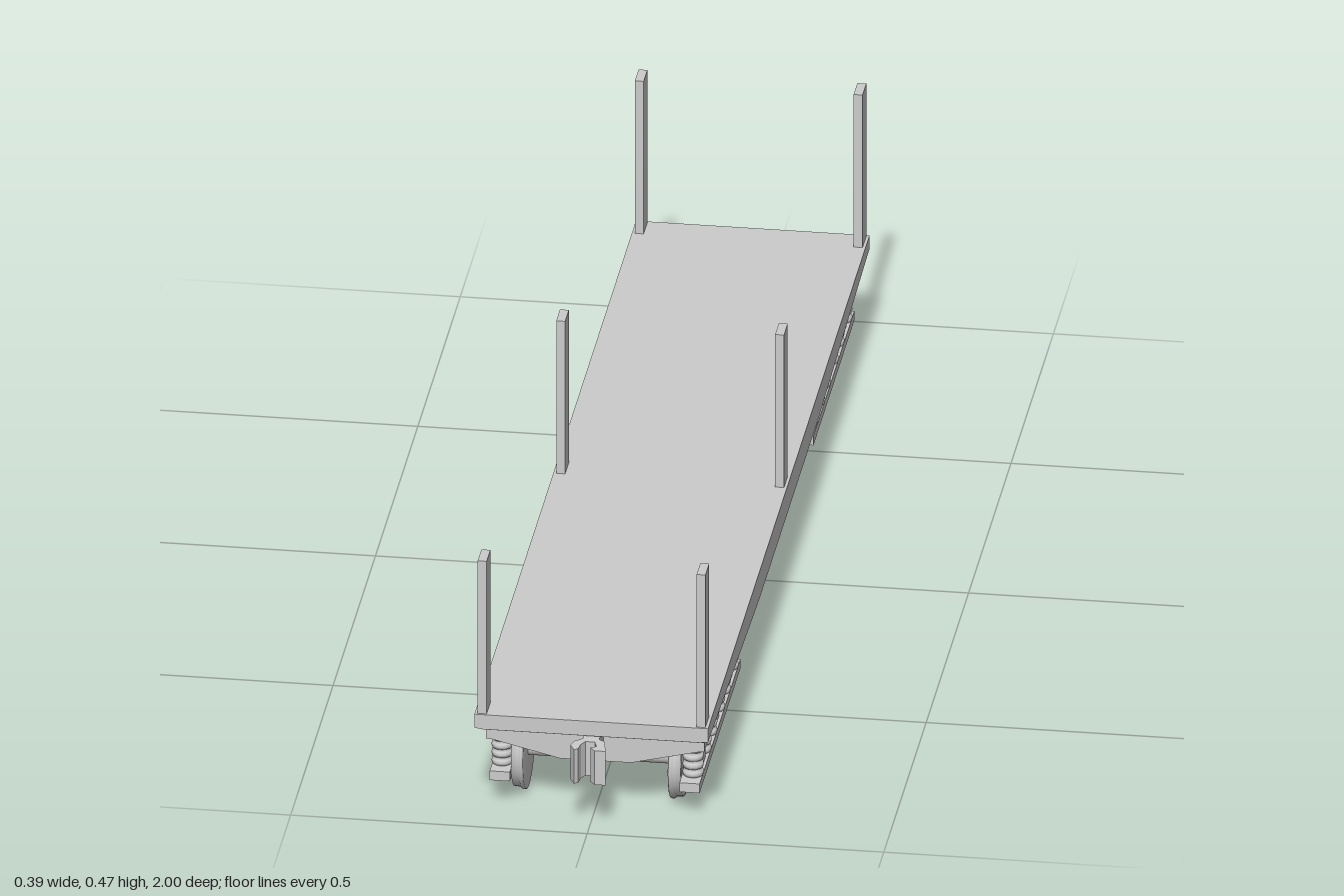
import * as THREE from 'three';

const material = new THREE.MeshStandardMaterial({ color: 0xcccccc });
const flat = new THREE.MeshStandardMaterial({ color: 0xcccccc, flatShading: true });

function add(parent, name, geometry, x = 0, y = 0, z = 0, mat = material) {
  const mesh = new THREE.Mesh(geometry, mat);
  mesh.name = name;
  mesh.position.set(x, y, z);
  parent.add(mesh);
  return mesh;
}

// Box given by its limits on each axis
function block(parent, name, [x0, x1], [y0, y1], [z0, z1]) {
  const geometry = new THREE.BoxGeometry(x1 - x0, y1 - y0, z1 - z0);
  return add(parent, name, geometry, (x0 + x1) / 2, (y0 + y1) / 2, (z0 + z1) / 2);
}

function shapeOf(points) {
  return new THREE.Shape(points.map(([x, y]) => new THREE.Vector2(x, y)));
}

// Fish-bellied deck: chamfered cross-sections lofted along z
function deckGeometry() {
  const top = 0.185, w = 0.197, wb = 0.184;
  const half = [[0.35, 0.135, 0.123], [0.932, 0.16, 0.148], [0.952, 0.16, 0.158]];
  const sections = [...half.map(([z, s, b]) => [-z, s, b]).reverse(), ...half];
  const positions = [], index = [];
  sections.forEach(([z, side, bottom], k) => {
    const ring = [[w, top], [-w, top], [-w, side], [-wb, bottom], [wb, bottom], [w, side]];
    ring.forEach(([x, y]) => positions.push(x, y, z));
    if (k === 0) return;
    for (let i = 0; i < 6; i++) {
      const j = (i + 1) % 6, p = (k - 1) * 6, q = k * 6;
      index.push(p + i, p + j, q + j, p + i, q + j, q + i);
    }
  });
  const last = (sections.length - 1) * 6;
  for (let i = 1; i < 5; i++) {
    index.push(0, i + 1, i, last, last + i, last + i + 1);
  }
  const geometry = new THREE.BufferGeometry();
  geometry.setAttribute('position', new THREE.Float32BufferAttribute(positions, 3));
  geometry.setIndex(index);
  const result = geometry.toNonIndexed();
  result.computeVertexNormals();
  return result;
}

// Flanged wheel, outer face towards +x
function wheelGeometry() {
  const profile = [[0, 0.122], [0.074, 0.122], [0.075, 0.125], [0.074, 0.129],
    [0.071, 0.131], [0.07, 0.143], [0.06, 0.143], [0.056, 0.139], [0.025, 0.139], [0.022, 0.143], [0, 0.143]];
  const geometry = new THREE.LatheGeometry(profile.map(([r, h]) => new THREE.Vector2(r, h)), 32);
  return geometry.rotateZ(-Math.PI / 2);
}

// Coil spring drawn as a stack of rounded rings
function springGeometry(bottom, height, coils) {
  const points = [new THREE.Vector2(0, bottom)];
  const pitch = height / coils;
  for (let i = 0; i < coils; i++) {
    const y = bottom + i * pitch;
    for (const [r, t] of [[0.012, 0], [0.017, 0.2], [0.018, 0.5], [0.017, 0.8]]) {
      points.push(new THREE.Vector2(r, y + t * pitch));
    }
  }
  points.push(new THREE.Vector2(0.012, bottom + height), new THREE.Vector2(0, bottom + height));
  return new THREE.LatheGeometry(points, 14);
}

// Three-axle truck centred on z = 0.67
function truck() {
  const group = new THREE.Group();
  group.name = 'truck';
  const wheel = wheelGeometry();
  const spring = springGeometry(0.06, 0.06, 4);
  const axle = new THREE.CylinderGeometry(0.017, 0.017, 0.26, 20).rotateZ(Math.PI / 2);

  // Tapered cross beams at both ends
  const beam = new THREE.ExtrudeGeometry(shapeOf([
    [-0.184, 0.149], [-0.184, 0.12], [-0.06, 0.09], [0.06, 0.09], [0.184, 0.12], [0.184, 0.149],
  ]), { depth: 0.025, bevelEnabled: false });
  add(group, 'crossBeam', beam, 0, 0, 0.88, flat);
  add(group, 'crossBeam', beam, 0, 0, 0.43, flat);

  for (const z of [0.51, 0.67, 0.83]) {
    add(group, 'axle', axle, 0, 0.075, z);
    for (const side of [-1, 1]) {
      const disc = add(group, 'wheel', wheel, 0, 0.075, z);
      if (side < 0) disc.rotation.y = Math.PI;
      block(group, 'axleBox', side > 0 ? [0.14, 0.172] : [-0.172, -0.14], [0.055, 0.12], [z - 0.022, z + 0.022]);
      for (const dz of [-0.046, 0.046]) add(group, 'spring', spring, side * 0.161, 0, z + dz);
    }
  }
  // Side frames above and below the springs
  for (const side of [-1, 1]) {
    const span = (a, b) => (side > 0 ? [a, b] : [-b, -a]);
    block(group, 'upperSideBeam', span(0.14, 0.184), [0.118, 0.149], [0.43, 0.905]);
    block(group, 'lowerSideBeam', span(0.143, 0.177), [0.045, 0.062], [0.43, 0.912]);
  }
  return group;
}

// Coupler: shank, guard arm and hooked knuckle in plan, extruded downwards
function coupler() {
  const plan = shapeOf([
    [-0.014, 0.89], [0.014, 0.89], [0.014, 0.955], [0.024, 0.962], [0.031, 0.999], [0.012, 0.999],
    [0.004, 0.988], [0.013, 0.982], [0.008, 0.966], [-0.008, 0.966], [-0.014, 0.978], [-0.016, 0.994],
    [-0.022, 1], [-0.031, 0.982], [-0.026, 0.966], [-0.014, 0.955],
  ]);
  const geometry = new THREE.ExtrudeGeometry(plan, { depth: 0.063, bevelEnabled: false });
  return geometry.rotateX(Math.PI / 2).translate(0, 0.154, 0);
}

export function createModel() {
  const model = new THREE.Group();
  model.name = 'flatWagon';
  add(model, 'deck', deckGeometry(), 0, 0, 0, flat);

  // Stakes along both edges
  for (const z of [-0.926, 0, 0.926]) {
    block(model, 'stake', [0.177, 0.192], [0.18, 0.468], [z - 0.022, z + 0.022]);
    block(model, 'stake', [-0.192, -0.177], [0.18, 0.468], [z - 0.022, z + 0.022]);
  }
  // Running gear and coupler, repeated at each end
  const couplerGeometry = coupler();
  for (const [name, angle] of [['frontEnd', 0], ['rearEnd', Math.PI]]) {
    const end = new THREE.Group();
    end.name = name;
    end.add(truck());
    add(end, 'coupler', couplerGeometry, 0, 0, 0, flat);
    end.rotation.y = angle;
    model.add(end);
  }
  return model;
}
